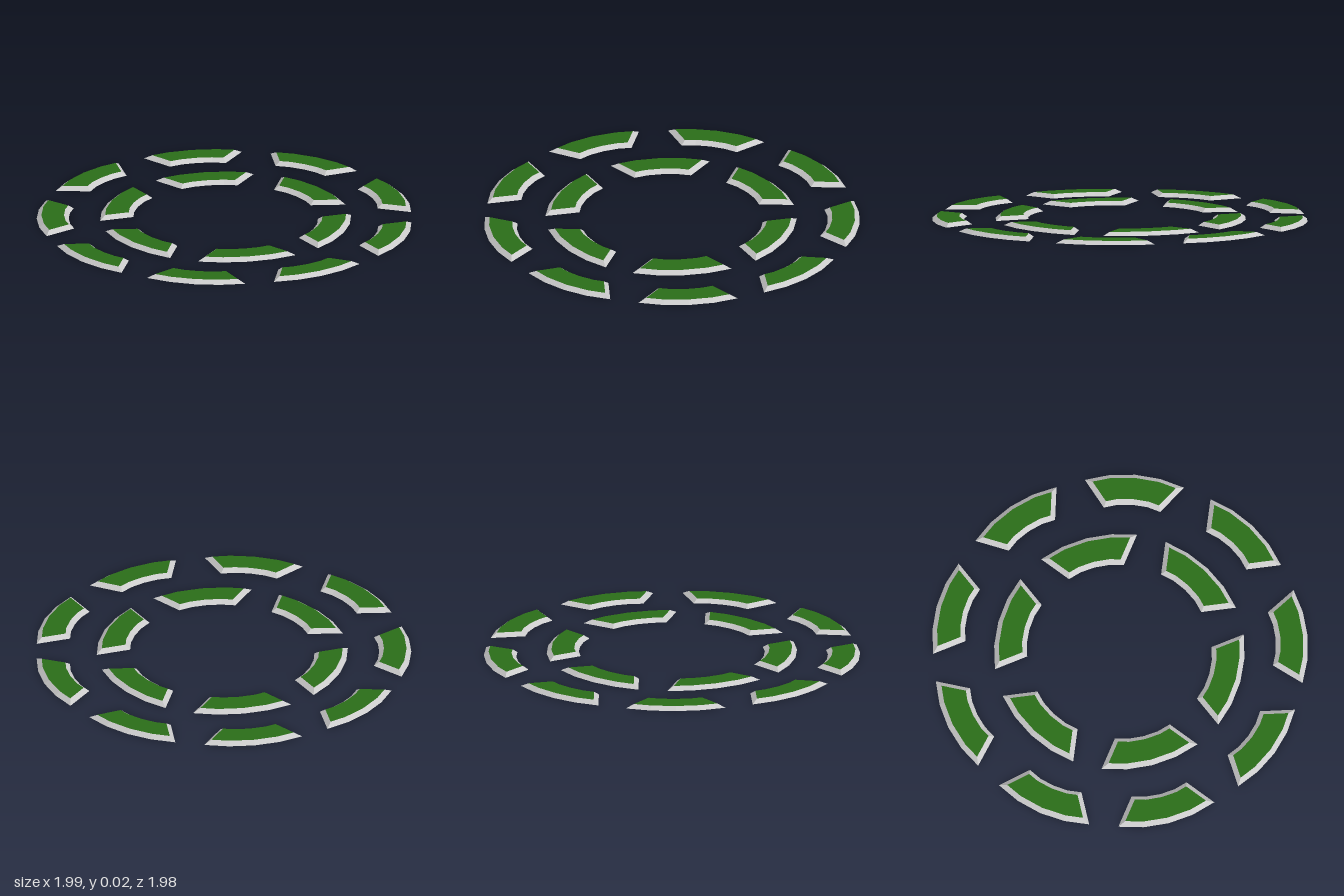
import * as THREE from 'three';

const HEIGHT = 0.02;
const BEVEL = 0.025;
const stone = new THREE.MeshStandardMaterial({ color: 0xcccccc, flatShading: true });
const green = new THREE.MeshStandardMaterial({ color: 0x2b6e18 });

// Counter-clockwise outline of one bed; the origin is the middle of its outer edge
function bedOutline() {
  const outer = [[0.263, -0.051], [0.135, -0.013], [0, 0], [-0.135, -0.013], [-0.263, -0.051]];
  const inner = [[-0.15, -0.198], [-0.08, -0.177], [0, -0.17], [0.08, -0.177], [0.15, -0.198]];
  return [...outer, ...inner].map(([x, y]) => new THREE.Vector2(x, y));
}

// Moves every edge inward by d, with mitred corners
function inset(points, d) {
  const n = points.length;
  const normal = (a, b) => new THREE.Vector2(a.y - b.y, b.x - a.x).normalize();
  return points.map((p, i) => {
    const n1 = normal(points[(i + n - 1) % n], p);
    const n2 = normal(p, points[(i + 1) % n]);
    const k = d / (1 + n1.dot(n2));
    return p.clone().addScaledVector(n1.add(n2), k);
  });
}

// Flat cap lying in the ground plane at height y
function cap(points, y) {
  return new THREE.ShapeGeometry(new THREE.Shape(points)).rotateX(-Math.PI / 2).translate(0, y, 0);
}

// Sloping band between the ground outline and the raised, inset outline
function slopedBand(base, top) {
  const position = [];
  const n = base.length;
  for (let i = 0; i < n; i++) {
    const j = (i + 1) % n;
    const a = [base[i].x, 0, -base[i].y];
    const b = [base[j].x, 0, -base[j].y];
    const c = [top[j].x, HEIGHT, -top[j].y];
    const d = [top[i].x, HEIGHT, -top[i].y];
    position.push(...a, ...b, ...c, ...a, ...c, ...d);
  }
  const geometry = new THREE.BufferGeometry();
  geometry.setAttribute('position', new THREE.Float32BufferAttribute(position, 3));
  geometry.computeVertexNormals();
  return geometry;
}

export function createModel() {
  const model = new THREE.Group();
  model.name = 'gardenBeds';

  const base = bedOutline();
  const top = inset(base, BEVEL);
  const underside = cap(base, 0);
  underside.scale(1, -1, 1);
  // Reverse the triangles so the underside faces down
  underside.index.array.reverse();
  underside.computeVertexNormals();
  const parts = [
    ['stoneEdge', slopedBand(base, top), stone],
    ['underside', underside, stone],
    ['grass', cap(top, HEIGHT), green],
  ];

  // Rings of identical beds facing outward
  const addRing = (name, count, radius) => {
    const ring = new THREE.Group();
    ring.name = name;
    for (let i = 0; i < count; i++) {
      const bed = new THREE.Group();
      bed.name = 'bed';
      bed.rotation.y = -i * 2 * Math.PI / count;
      for (const [partName, geometry, material] of parts) {
        const mesh = new THREE.Mesh(geometry, material);
        mesh.name = partName;
        mesh.position.z = -radius;
        bed.add(mesh);
      }
      ring.add(bed);
    }
    ring.position.z = 0.005;
    model.add(ring);
  };
  addRing('innerRing', 6, 0.662);
  addRing('outerRing', 9, 1.0);
  return model;
}
